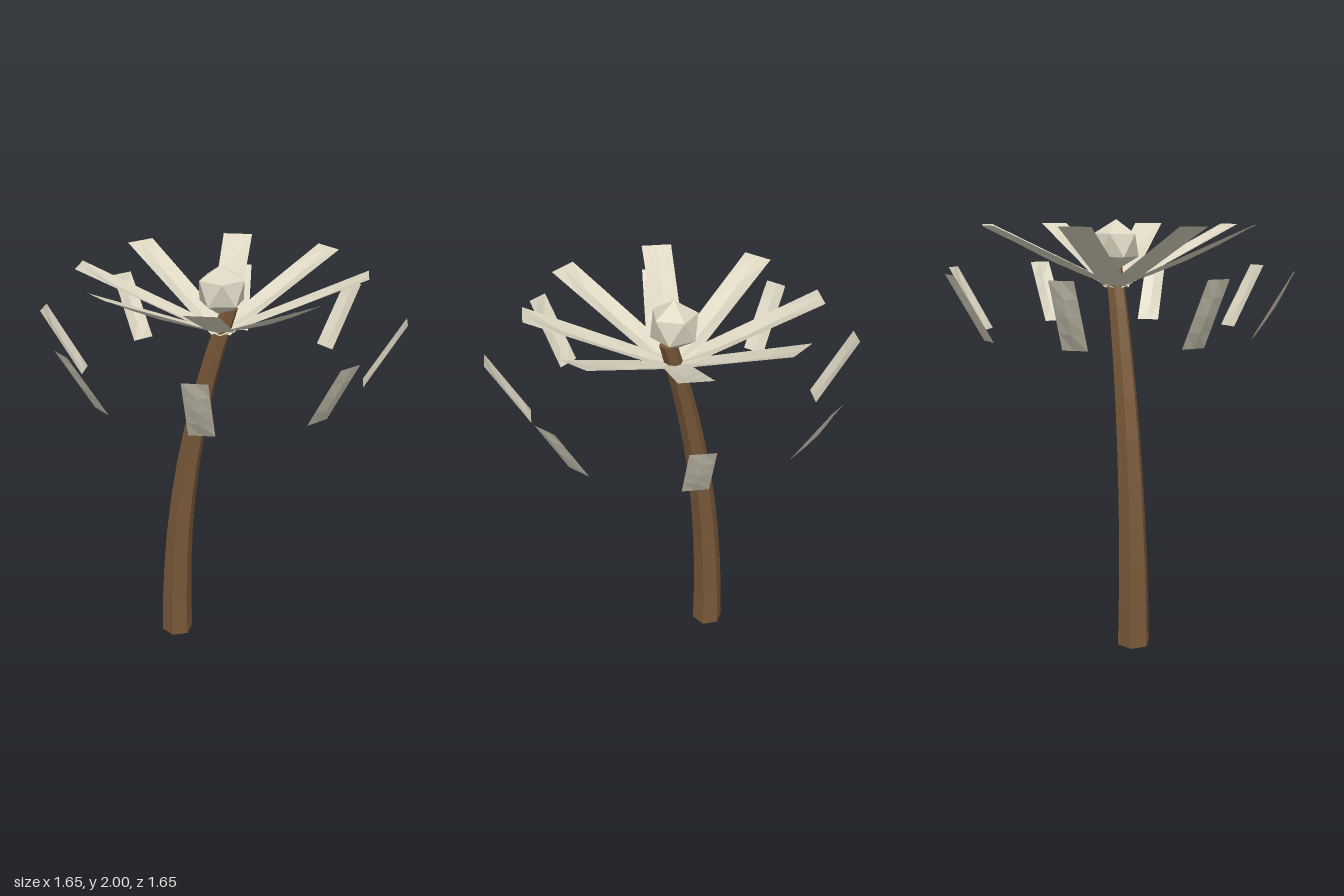
import * as THREE from 'three';

const bark = new THREE.MeshStandardMaterial({ color: 0x785838, flatShading: true });
bark.name = 'bark';
const cream = new THREE.MeshStandardMaterial({ color: 0xdcd6c2, flatShading: true, side: THREE.DoubleSide });
cream.name = 'cream';

function addMesh(parent, geometry, material, name) {
  const mesh = new THREE.Mesh(geometry, material);
  mesh.name = name;
  parent.add(mesh);
  return mesh;
}

// Six-sided trunk that tapers and leans over towards +x
function trunkGeometry() {
  const height = 1.8;
  const geo = new THREE.CylinderGeometry(1, 1, height, 6, 9);
  const p = geo.attributes.position;
  for (let i = 0; i < p.count; i++) {
    const y = p.getY(i) + height / 2;
    const radius = 0.08 - 0.022 * y;
    const bend = -0.248 + 0.25 * Math.pow(y / 1.7, 2.2);
    p.setXYZ(i, bend + p.getX(i) * radius, y, p.getZ(i) * radius);
  }
  return geo;
}

// Thin strip from (r0, y0) to (r1, y1), with a shallow fold that flattens at both ends
function strip([r0, y0, w0], [r1, y1, w1], depth) {
  const geo = new THREE.PlaneGeometry(1, 1, 2, 4);
  const p = geo.attributes.position;
  const length = Math.hypot(r1 - r0, y1 - y0);
  const nx = -(y1 - y0) / length, ny = (r1 - r0) / length;
  for (let i = 0; i < p.count; i++) {
    const v = p.getX(i), u = p.getY(i) + 0.5;
    const sag = depth * (1 - 2 * Math.abs(v)) * Math.sin(Math.PI * u);
    p.setXYZ(i,
      THREE.MathUtils.lerp(r0, r1, u) - nx * sag,
      THREE.MathUtils.lerp(y0, y1, u) - ny * sag,
      v * THREE.MathUtils.lerp(w0, w1, u));
  }
  geo.computeVertexNormals();
  return geo;
}

export function createModel() {
  const model = new THREE.Group();
  model.name = 'palmTree';

  addMesh(model, trunkGeometry(), bark, 'trunk');

  // Faceted bud standing on one corner
  const bud = new THREE.IcosahedronGeometry(0.118, 0);
  bud.rotateZ(-Math.atan(2 / (1 + Math.sqrt(5))));
  addMesh(model, bud, cream, 'bud').position.y = 1.882;

  // Ring of fronds: a rising blade and a separate hanging tip each
  const blade = strip([0, 1.687, 0.12], [0.645, 1.975, 0.142], 0.02);
  const tip = strip([0.65, 1.47, 0.112], [0.826, 1.77, 0.106], 0.012);
  for (let i = 0; i < 8; i++) {
    const frond = new THREE.Group();
    frond.name = 'frond' + (i + 1);
    frond.rotation.y = THREE.MathUtils.degToRad(10 - 45 * i);
    addMesh(frond, blade, cream, 'frondBlade');
    addMesh(frond, tip, cream, 'frondTip');
    model.add(frond);
  }
  return model;
}
